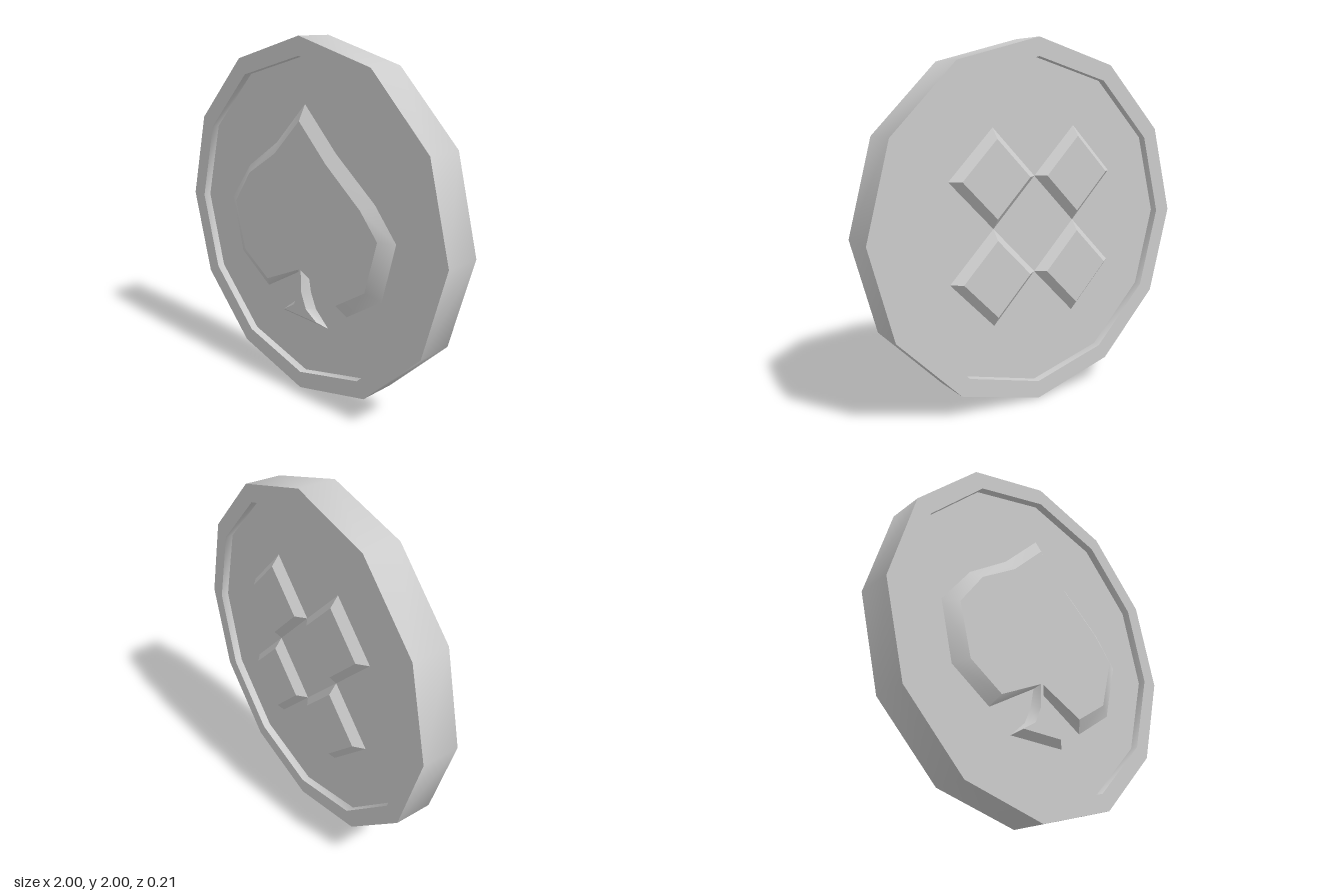
import * as THREE from 'three';
import { mergeGeometries, toCreasedNormals } from 'three/addons/utils/BufferGeometryUtils.js';

const HALF = 0.107;   // half thickness at the rim
const FLOOR = 0.062;  // height of the recessed faces
const CREASE = 0.72;
const material = new THREE.MeshStandardMaterial({ color: 0xcccccc });

// Bevelled relief between two matching counter-clockwise outlines, rows of [outerX, outerY, innerX, innerY]
function relief(rows) {
  const positions = [];
  rows.forEach((a, i) => {
    const b = rows[(i + 1) % rows.length];
    const a0 = [a[0], a[1], FLOOR], b0 = [b[0], b[1], FLOOR];
    const a1 = [a[2], a[3], HALF], b1 = [b[2], b[3], HALF];
    positions.push(...a0, ...b0, ...b1, ...a0, ...b1, ...a1);
  });
  let sides = new THREE.BufferGeometry();
  sides.setAttribute('position', new THREE.Float32BufferAttribute(positions, 3));
  sides = toCreasedNormals(sides, CREASE);
  const shape = new THREE.Shape(rows.map(r => new THREE.Vector2(r[2], r[3])));
  const cap = new THREE.ShapeGeometry(shape).toNonIndexed();
  cap.deleteAttribute('uv');
  cap.translate(0, 0, HALF);
  return mergeGeometries([sides, cap]);
}

function addMesh(parent, name, geometry) {
  const mesh = new THREE.Mesh(geometry, material);
  mesh.name = name;
  parent.add(mesh);
  return mesh;
}

export function createModel() {
  const model = new THREE.Group();
  model.name = 'coin';
  const disc = new THREE.Group();
  disc.name = 'disc';
  disc.position.y = 1;
  model.add(disc);

  // Twelve-sided body with a raised rim on both faces
  const profile = [
    [0, -FLOOR], [0.9, -FLOOR], [0.9, -HALF], [1, -HALF],
    [1, HALF], [0.9, HALF], [0.9, FLOOR], [0, FLOOR],
  ].map(([r, h]) => new THREE.Vector2(r, h));
  const body = new THREE.LatheGeometry(profile, 12);
  body.rotateX(Math.PI / 2);
  addMesh(disc, 'body', toCreasedNormals(body, CREASE));

  // Spade on the front: tip, then one side from top to foot
  const tip = [0, 0.65, 0, 0.565];
  const half = [
    [0.233, 0.417, 0.203, 0.363],
    [0.508, 0.198, 0.45, 0.165],
    [0.652, 0.027, 0.568, 0.027],
    [0.57, -0.3, 0.49, -0.263],
    [0.326, -0.462, 0.284, -0.396],
    [0.022, -0.285, 0.008, -0.267],
    [0.044, -0.4, 0.012, -0.4],
    [0.085, -0.49, 0.05, -0.49],
    [0.183, -0.578, 0.135, -0.543],
  ];
  const mirrored = half.map(([ox, oy, ix, iy]) => [-ox, oy, -ix, iy]);
  mirrored[1] = [-0.48, 0.25, -0.43, 0.22];
  addMesh(disc, 'spade', relief([tip, ...mirrored, ...half.slice().reverse()]));

  // Four bevelled diamonds on the back, touching at their corners
  const pattern = new THREE.Group();
  pattern.name = 'diamondPattern';
  pattern.rotation.y = Math.PI;
  disc.add(pattern);
  const d = 0.267, t = 0.21;
  const diamond = relief([[d, 0, t, 0], [0, d, 0, t], [-d, 0, -t, 0], [0, -d, 0, -t]]);
  for (const sx of [-1, 1]) {
    for (const sy of [-1, 1]) {
      addMesh(pattern, 'diamond', diamond).position.set(sx * d, sy * d, 0);
    }
  }
  return model;
}
